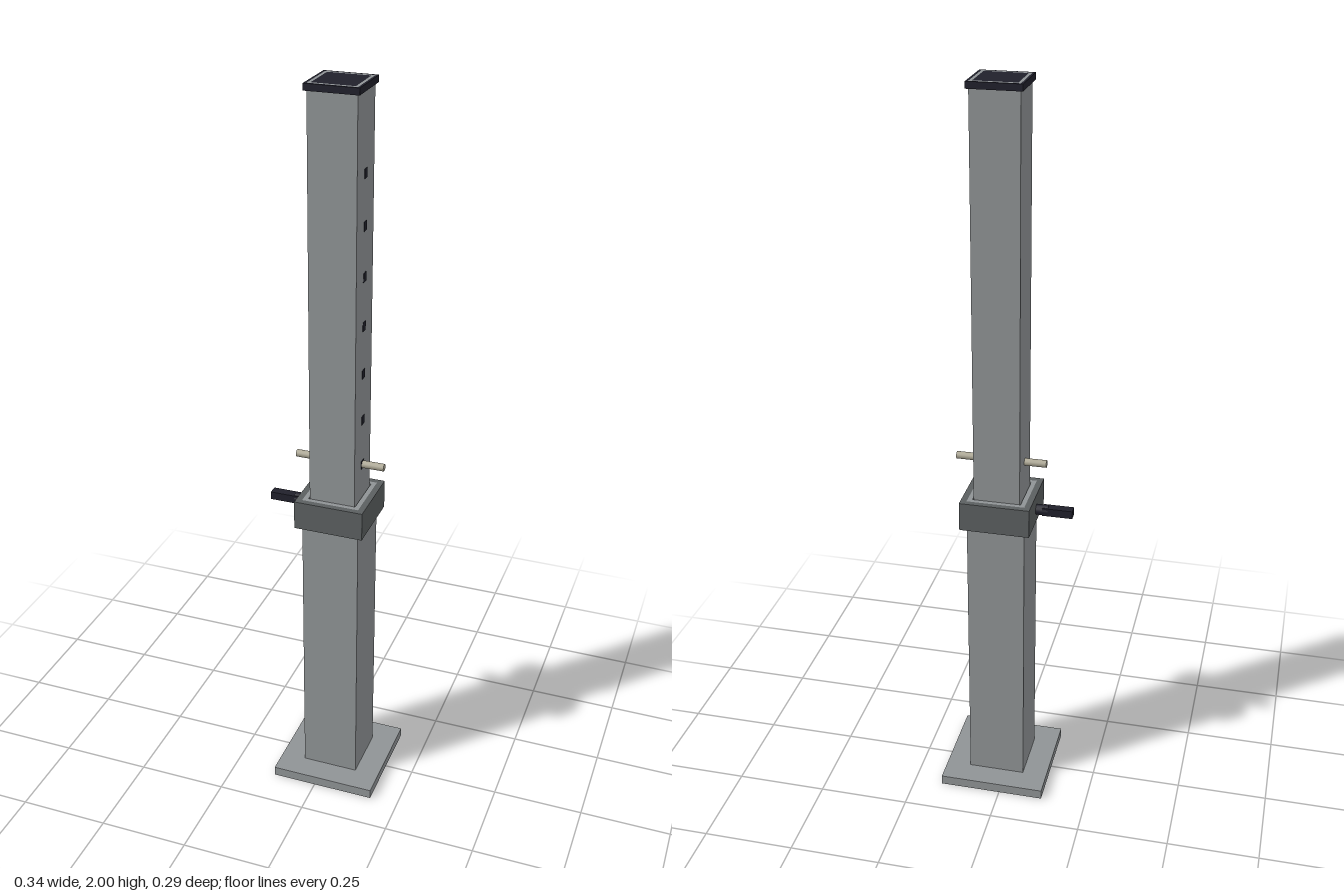
import * as THREE from 'three';

const CX = 0.023; // the column axis

const paint = (name, color) => {
  const m = new THREE.MeshStandardMaterial({ color });
  m.name = name;
  return m;
};

export function createModel() {
  const steel = paint('steel grey', 0x8f9395);
  const darkSteel = paint('dark steel', 0x5b5f60);
  const black = paint('black plastic', 0x20202b);
  const zinc = paint('pale zinc', 0xaca794);

  const group = new THREE.Group();
  group.name = 'telescopicPost';

  const add = (name, geometry, material, x, y, z = 0) => {
    const mesh = new THREE.Mesh(geometry, material);
    mesh.name = name;
    mesh.position.set(x, y, z);
    group.add(mesh);
    return mesh;
  };

  const square = (Type, h) =>
    new Type([[-h, -h], [h, -h], [h, h], [-h, h]].map(([x, y]) => new THREE.Vector2(x, y)));

  // Upright hollow square section between two heights
  const squareTube = (name, outer, inner, y0, y1, material) => {
    const shape = square(THREE.Shape, outer);
    shape.holes.push(square(THREE.Path, inner));
    const geometry = new THREE.ExtrudeGeometry(shape, { depth: y1 - y0, bevelEnabled: false });
    geometry.rotateX(-Math.PI / 2);
    return add(name, geometry, material, CX, y0);
  };

  // Base plate and the two sliding tubes
  add('basePlate', new THREE.BoxGeometry(0.294, 0.027, 0.294), steel, CX, 0.0135);
  squareTube('outerTube', 0.0785, 0.0655, 0.027, 0.905, steel);
  squareTube('innerTube', 0.0625, 0.055, 0.6, 2, steel);

  // Clamp collar around the top of the outer tube
  squareTube('clampCollar', 0.095, 0.0785, 0.825, 0.905, darkSteel);

  // End cap: rim outside the tube and plug inside it
  squareTube('capRim', 0.069, 0.0625, 1.983, 2, black);
  add('capPlug', new THREE.BoxGeometry(0.11, 0.03, 0.11), black, CX, 1.985);

  // Adjustment holes on the left face
  for (let i = 0; i < 7; i++) {
    add('adjustmentHole', new THREE.BoxGeometry(0.002, 0.024, 0.02), black, CX + 0.0627, 1 + i * 0.1307);
  }

  // Locking pin through both walls
  const pin = new THREE.CylinderGeometry(0.01, 0.01, 0.245, 12);
  pin.rotateZ(Math.PI / 2);
  add('lockingPin', pin, zinc, CX + 0.001, 1);

  // Clamp screw and its handle
  const screw = new THREE.CylinderGeometry(0.0145, 0.0145, 0.04, 12);
  screw.rotateZ(Math.PI / 2);
  add('clampScrew', screw, black, -0.085, 0.861);
  add('clampHandle', new THREE.BoxGeometry(0.082, 0.022, 0.026), black, -0.131, 0.861);

  return group;
}
